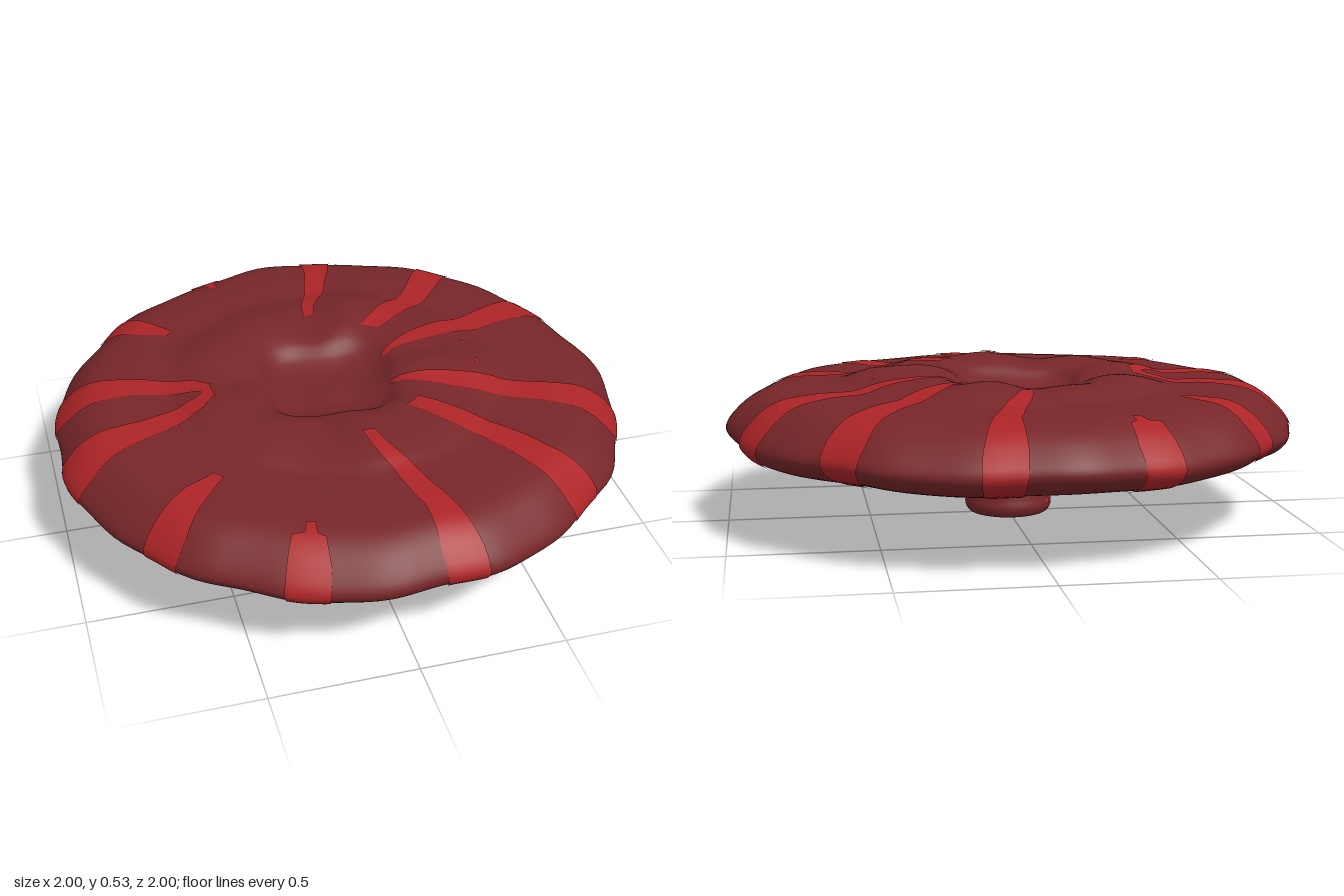
import * as THREE from 'three';

// Cross-section [radius, height]: pit, raised ring, shoulder, rim, underside, stem
const PROFILE = [
  [0, 0.425], [0.12, 0.425], [0.2, 0.45], [0.26, 0.492], [0.33, 0.51], [0.46, 0.51], [0.53, 0.497], [0.59, 0.48],
  [0.74, 0.474], [0.86, 0.457], [0.94, 0.405], [0.993, 0.33], [0.965, 0.285], [0.88, 0.25], [0.75, 0.225],
  [0.58, 0.208], [0.36, 0.186], [0.2, 0.176], [0.158, 0.155], [0.146, 0.12], [0.15, 0.07], [0.155, 0.035],
  [0.14, 0.008], [0.1, 0.001], [0, 0],
];
const LAST = PROFILE.length - 1, RIM = 11, STEM = 18;
const curve = new THREE.CatmullRomCurve3(PROFILE.map(([r, y]) => new THREE.Vector3(r, y, 0)));
const smooth = THREE.MathUtils.smoothstep;

// Point of the wobbly cap surface at profile position s and angle a
function surface(s, a) {
  const p = curve.getPoint(THREE.MathUtils.clamp(s / LAST, 0, 1));
  let r = Math.max(p.x, 0), y = Math.max(p.y, 0);
  let shift = 0;
  if (s < RIM) {
    const pit = 1 - smooth(r, 0.2, 0.45);
    const ring = smooth(r, 0.2, 0.35) * (1 - smooth(r, 0.5, 0.7));
    r *= 1 + pit * 0.1 * Math.cos(4 * a + 2.6);
    shift = -0.03 * pit;
    y += pit * 0.06 * r * Math.cos(a - 0.5);
    y += ring * (0.008 * Math.sin(5 * a + 1) + 0.006 * Math.sin(9 * a));
  }
  const edge = smooth(r, 0.7, 0.95);
  r *= 1 + edge * (0.006 * Math.sin(11 * a + 1) + 0.005 * Math.cos(19 * a) - 0.003 * Math.cos(a));
  y += edge * 0.006 * Math.sin(8 * a + 2);
  return new THREE.Vector3(r * Math.cos(a) + shift, y, r * Math.sin(a));
}

// Surface point lifted slightly along the normal
function lifted(s, a, h) {
  const e = 0.02;
  const along = surface(s + e, a).sub(surface(s - e, a));
  const around = surface(s, a + e).sub(surface(s, a - e));
  return surface(s, a).addScaledVector(around.cross(along).normalize(), h);
}

// Grid of rows by cols points; wrap joins the last column to the first
function grid(rows, cols, wrap, at) {
  const pos = [], index = [];
  for (let i = 0; i <= rows; i++) {
    for (let j = 0; j < cols; j++) pos.push(...at(i / rows, j / (wrap ? cols : cols - 1)).toArray());
  }
  for (let i = 0; i < rows; i++) {
    for (let j = 0; j < (wrap ? cols : cols - 1); j++) {
      const a = i * cols + j, b = i * cols + (j + 1) % cols;
      index.push(a, b, a + cols, b, b + cols, a + cols);
    }
  }
  const g = new THREE.BufferGeometry();
  g.setAttribute('position', new THREE.Float32BufferAttribute(pos, 3));
  g.setIndex(index);
  g.computeVertexNormals();
  return g;
}

// Profile position with a given radius, on the top or the underside
function findS(r, under) {
  let lo = under ? RIM : 0, hi = under ? STEM : RIM;
  for (let k = 0; k < 30; k++) {
    const mid = (lo + hi) / 2;
    if ((curve.getPoint(mid / LAST).x < r) !== under) lo = mid; else hi = mid;
  }
  return (lo + hi) / 2;
}

// Stripes from top inner end, over the rim, to underside inner end: [x, z, width]
const STRIPES = [
  { top: [[-0.29, -0.75, 0.03], [-0.3, -0.79, 0.04], [-0.31, -0.8, 0.11], [-0.33, -0.88, 0.14]],
    under: [[-0.33, -0.88, 0.13], [-0.23, -0.6, 0.08], [-0.08, -0.2, 0.05]] },
  { top: [[0, -0.4, 0.04], [0.05, -0.55, 0.07], [0.12, -0.76, 0.09], [0.15, -0.93, 0.14]],
    under: [[0.15, -0.9, 0.12], [0.1, -0.6, 0.07], [0.03, -0.2, 0.05]] },
  { top: [[0.2, -0.25, 0.07], [0.42, -0.46, 0.1], [0.53, -0.62, 0.12], [0.62, -0.72, 0.16]],
    under: [[0.61, -0.7, 0.12], [0.42, -0.46, 0.07], [0.16, -0.16, 0.05]] },
  { top: [[0.21, -0.09, 0.02], [0.35, -0.15, 0.07], [0.65, -0.26, 0.11], [0.88, -0.34, 0.17]],
    under: [[0.85, -0.33, 0.12], [0.62, -0.2, 0.07], [0.52, -0.02, 0.06], [0.5, 0, 0.03]] },
  { top: [[-0.52, -0.45, 0.04], [-0.6, -0.51, 0.09], [-0.71, -0.61, 0.14]],
    under: [[-0.7, -0.59, 0.13], [-0.45, -0.37, 0.08], [-0.16, -0.12, 0.04]] },
  { top: [[-0.45, -0.01, 0.08], [-0.5, -0.06, 0.08], [-0.7, -0.13, 0.1], [-0.92, -0.18, 0.18]],
    under: [[-0.9, -0.17, 0.14], [-0.65, -0.12, 0.08], [-0.45, -0.03, 0.06]] },
];

function stripeGeometry({ top, under }, side) {
  const keys = [...top.map((k) => [...k, false]), ...under.map((k) => [...k, true])].map(([x, z, w, u]) => {
    const r = Math.hypot(x, z);
    return { s: findS(r, u), a: Math.atan2(z * side, x), half: w / 2 / r };
  });
  // keep angles continuous where a stripe touches the -x axis
  for (const k of keys) k.a = keys[0].a + Math.atan2(Math.sin(k.a - keys[0].a), Math.cos(k.a - keys[0].a));
  const per = 12, n = keys.length - 1;
  return grid(per * n, 7, false, (t, v) => {
    const i = Math.min(Math.floor(t * n + 1e-9), n - 1), f = t * n - i, p = keys[i], q = keys[i + 1];
    const lerp = THREE.MathUtils.lerp;
    const a = lerp(p.a, q.a, f) + lerp(p.half, q.half, f) * (2 * v - 1);
    return lifted(lerp(p.s, q.s, f), a, 0.004);
  });
}

export function createModel() {
  const model = new THREE.Group();
  const darkRed = new THREE.MeshStandardMaterial({ color: 0x772629 });
  darkRed.name = 'dark red';
  const brightRed = new THREE.MeshStandardMaterial({ color: 0xac2427 });
  brightRed.name = 'bright red';
  const add = (name, geometry, material) => {
    const mesh = new THREE.Mesh(geometry, material);
    mesh.name = name;
    model.add(mesh);
  };

  // Cap and the part of the stem below it
  const body = (from, to, rows) => grid(rows, 144, true, (t, v) => surface(from + (to - from) * t, v * Math.PI * 2));
  add('cap', body(0, 17, 136), darkRed);
  add('stem', body(17, LAST, 42), darkRed);

  // Stripes, mirrored front to back
  for (const side of [1, -1]) {
    for (const stripe of STRIPES) add('stripe', stripeGeometry(stripe, side), brightRed);
  }

  // Small spots on the stem and the cap: [profile position, angle, half length, half angle]
  const spots = [
    [19, 2.2, 0.55, 0.24], [20.8, Math.PI, 0.25, 0.08], [20.5, Math.PI - 0.6, 0.35, 0.1],
    [20.5, Math.PI + 0.6, 0.35, 0.1], [findS(0.495, false), 0.16, 0.15, 0.025], [findS(0.495, false), -0.16, 0.15, 0.025],
  ];
  for (const [s, a, hs, ha] of spots) {
    add('spot', grid(6, 7, false, (t, v) => {
      const w = Math.sqrt(Math.max(0, 1 - (2 * t - 1) ** 2));
      return lifted(s + hs * (2 * t - 1), a + ha * w * (2 * v - 1), 0.003);
    }), brightRed);
  }
  return model;
}
